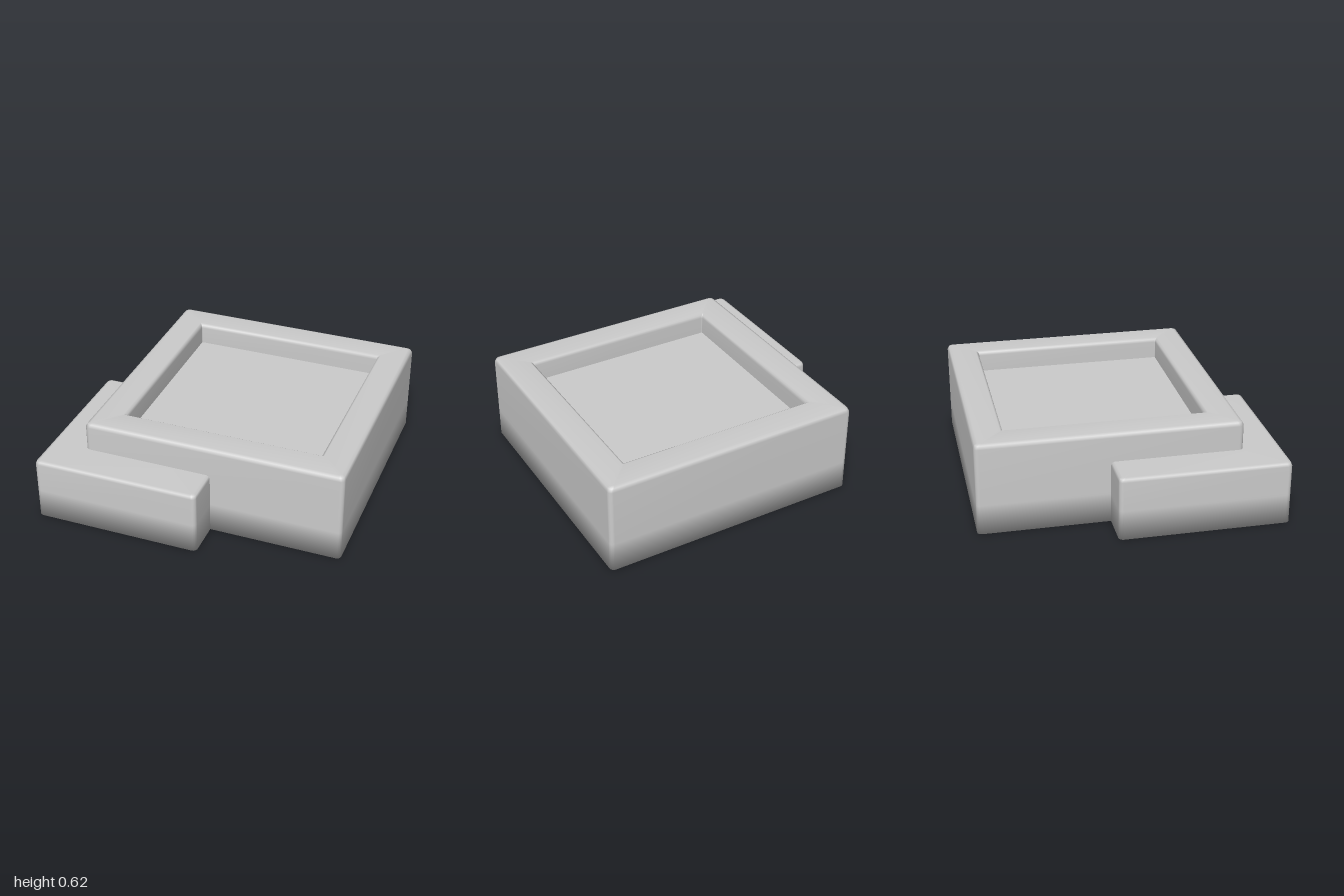
import * as THREE from 'three';

const material = new THREE.MeshStandardMaterial({ color: 0xcccccc });

// Rounded rectangle in the xz plane: half sizes hx, hz and corner radius r
function ring(hx, hz, r, y, steps = 4) {
  const points = [];
  for (let c = 0; c < 4; c++) {
    const sx = c === 0 || c === 3 ? 1 : -1;
    const sz = c < 2 ? 1 : -1;
    for (let i = 0; i <= steps; i++) {
      const a = (c + i / steps) * Math.PI / 2;
      points.push([sx * (hx - r) + r * Math.cos(a), y, sz * (hz - r) + r * Math.sin(a)]);
    }
  }
  return points;
}

// Smooth skin over rings given as [inset, y, cornerRadius], from bottom centre upward
function loft(hx, hz, profile) {
  const rings = profile.map(([inset, y, r]) =>
    ring(Math.max(0, hx - inset), Math.max(0, hz - inset), r, y));
  const n = rings[0].length;
  const index = [];
  for (let i = 0; i < rings.length - 1; i++) {
    for (let j = 0; j < n; j++) {
      const a = i * n + j, b = i * n + (j + 1) % n;
      index.push(a, a + n, b, b, a + n, b + n);
    }
  }
  const geometry = new THREE.BufferGeometry();
  geometry.setAttribute('position', new THREE.Float32BufferAttribute(rings.flat(2), 3));
  geometry.setIndex(index);
  geometry.computeVertexNormals();
  return geometry;
}

export function createModel() {
  const group = new THREE.Group();
  const add = (name, geometry, x, y, z) => {
    const mesh = new THREE.Mesh(geometry, material);
    mesh.name = name;
    mesh.position.set(x, y, z);
    group.add(mesh);
  };

  // Tub: closed base, straight walls, soft rim and recessed inner walls
  add('tubShell', loft(0.875, 0.865, [
    [1, 0, 0], [0, 0, 0.03], [0, 0.2, 0.03], [0, 0.59, 0.03],
    [0.01, 0.612, 0.03], [0.03, 0.62, 0.02],
    [0.19, 0.62, 0.01], [0.205, 0.61, 0.005], [0.21, 0.59, 0.005], [0.21, 0.45, 0.005],
  ]), 0.125, 0, -0.125);

  // Water surface
  add('water', new THREE.PlaneGeometry(1.34, 1.32).rotateX(-Math.PI / 2), 0.125, 0.47, -0.125);

  // Low step wrapped around the front right corner
  add('cornerStep', loft(0.56, 0.56, [
    [1, 0, 0], [0, 0, 0.03], [0, 0.2, 0.03], [0, 0.4, 0.03],
    [0.007, 0.418, 0.03], [0.025, 0.425, 0.02], [1, 0.425, 0],
  ]), -0.44, 0, 0.43);

  return group;
}
